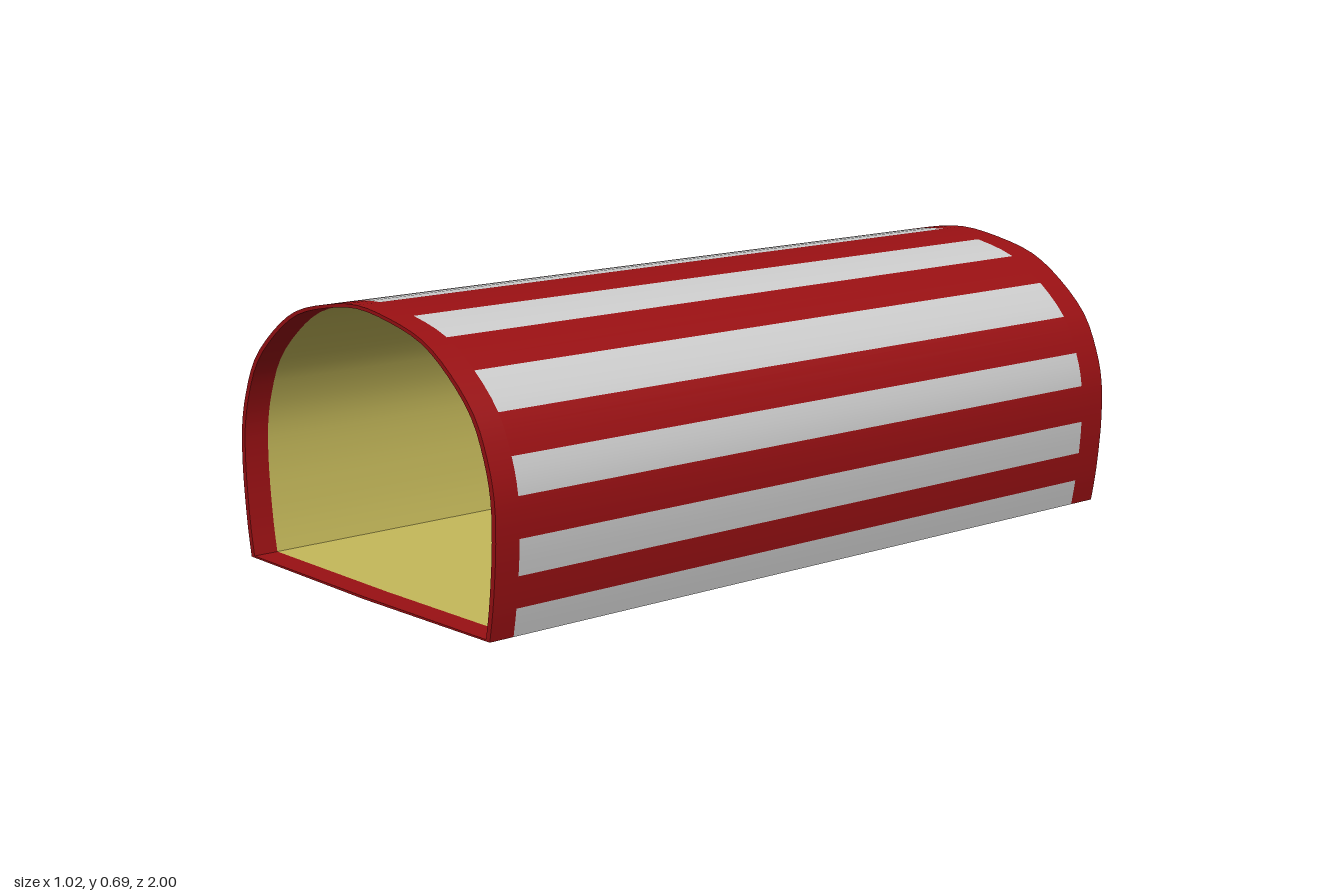
import * as THREE from 'three';

const RED = 0x991013, GREY = 0xcccccc, YELLOW = 0xc5b95a;
const BACK = -0.92, FRONT = 0.935; // where the end borders begin
const SUB = 3; // segments per stripe

// Half profile from crown to foot; each point is a stripe edge
const half = [[0, 0.692], [0.13, 0.677], [0.255, 0.645], [0.355, 0.585], [0.44, 0.505], [0.485, 0.415],
  [0.507, 0.33], [0.51, 0.235], [0.504, 0.15], [0.495, 0.075], [0.483, 0.008]];

const v2 = (x, y) => new THREE.Vector2(x, y);

// Sheet running along z over points [from..to]; normals are shared across neighbouring sheets
function sheet(name, points, z0, z1, material, from = 0, to = points.length - 1) {
  const pos = [], nor = [], idx = [];
  for (let i = from; i <= to; i++) {
    const p = points[i];
    const t = points[Math.min(i + 1, points.length - 1)].clone().sub(points[Math.max(i - 1, 0)]).normalize();
    pos.push(p.x, p.y, z0, p.x, p.y, z1);
    nor.push(t.y, -t.x, 0, t.y, -t.x, 0);
    if (i < to) {
      const a = (i - from) * 2;
      idx.push(a, a + 2, a + 1, a + 1, a + 2, a + 3);
    }
  }
  const geo = new THREE.BufferGeometry();
  geo.setAttribute('position', new THREE.Float32BufferAttribute(pos, 3));
  geo.setAttribute('normal', new THREE.Float32BufferAttribute(nor, 3));
  geo.setIndex(idx);
  const mesh = new THREE.Mesh(geo, material);
  mesh.name = name;
  return mesh;
}

export function createModel() {
  const group = new THREE.Group();
  group.name = 'stripedTunnel';
  const [red, grey, yellow] = [RED, GREY, YELLOW].map(color => new THREE.MeshStandardMaterial({ color }));

  // Full arch from the +x foot over the crown to the -x foot
  const knots = [
    ...half.slice().reverse().map(([x, y]) => v2(x, y)),
    ...half.slice(1).map(([x, y]) => v2(-x, y)),
  ];
  const stripes = knots.length - 1;
  const outer = new THREE.SplineCurve(knots).getPoints(stripes * SUB);
  const inner = outer.map(p => v2(p.x * 0.972, 0.012 + (p.y - 0.008) * 0.982));

  // Outer skin: alternating stripes between two plain borders
  for (let i = 0; i < stripes; i++) {
    const light = i % 2 === 0;
    group.add(sheet(light ? 'lightStripe' : 'redStripe', outer, BACK, FRONT, light ? grey : red, i * SUB, (i + 1) * SUB));
  }
  group.add(sheet('backBorder', outer, -1, BACK, red));
  group.add(sheet('frontBorder', outer, FRONT, 1, red));

  // Slightly sagging floor
  const foot = outer[0].x, inFoot = inner[0].x;
  const underside = [v2(-foot, 0.008), v2(0, 0.003), v2(foot, 0.008)];
  const floor = [v2(inFoot, 0.012), v2(0, 0.009), v2(-inFoot, 0.012)];
  group.add(sheet('underside', underside, -1, 1, red));

  // Lining with red lips at both ends
  const lining = inner.slice().reverse();
  for (const [label, z0, z1, mat] of [['backLip', -1, BACK, red], ['lining', BACK, FRONT, yellow], ['frontLip', FRONT, 1, red]]) {
    group.add(sheet(label + 'Wall', lining, z0, z1, mat));
    group.add(sheet(label + 'Floor', floor, z0, z1, mat));
  }

  // Thin seam between wall and floor on one side
  group.add(sheet('floorSeam', [v2(inFoot, 0.022), v2(inFoot - 0.004, 0.0125)], -0.58, 0.58, red));

  // End rims
  const rim = new THREE.Shape([...outer, underside[1]]);
  rim.holes.push(new THREE.Path([...lining, floor[1]]));
  for (const side of [1, -1]) {
    const mesh = new THREE.Mesh(new THREE.ShapeGeometry(rim), red);
    mesh.name = side > 0 ? 'frontRim' : 'backRim';
    mesh.position.z = side;
    if (side < 0) mesh.rotation.y = Math.PI;
    group.add(mesh);
  }
  return group;
}
